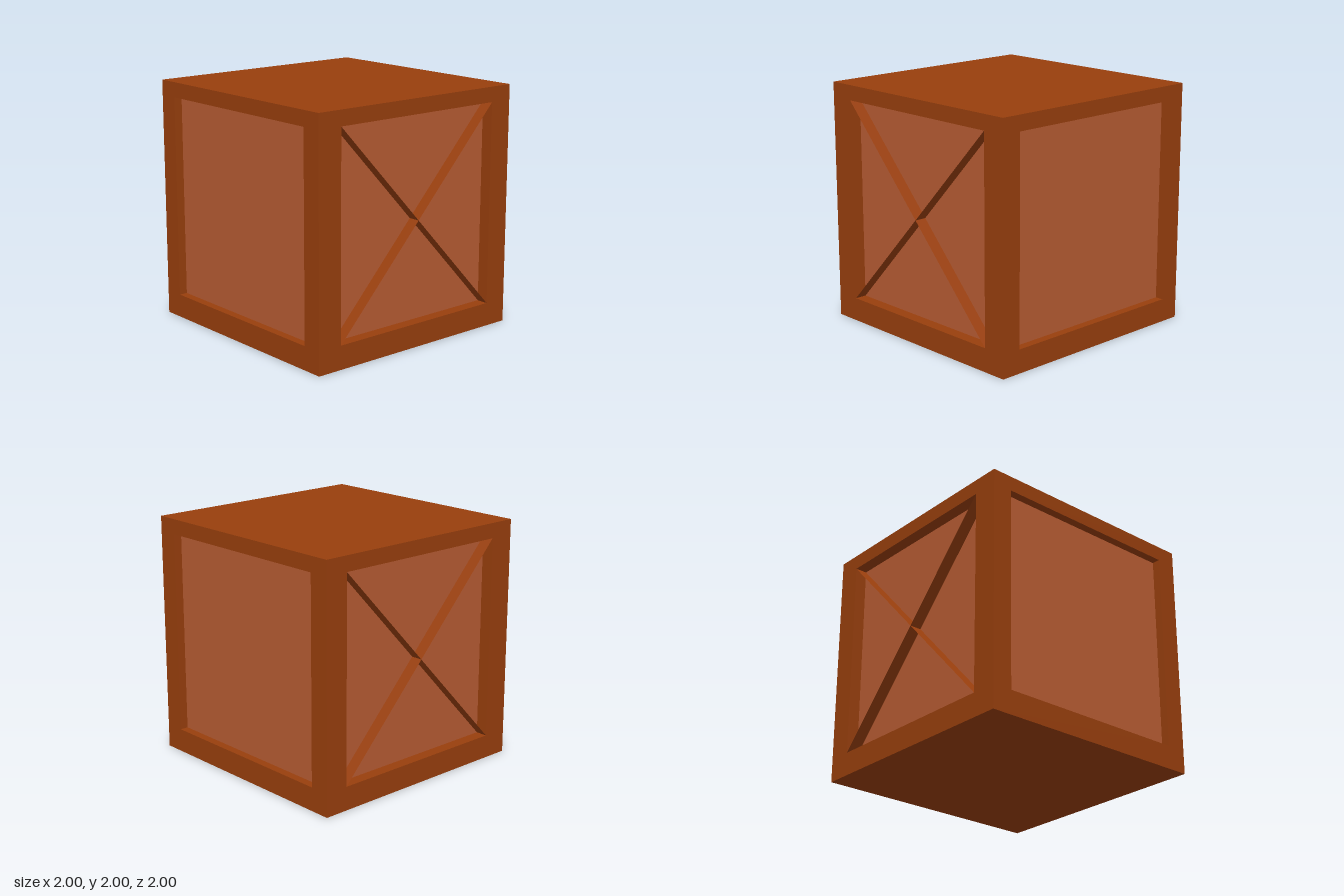
import * as THREE from 'three';
import { mergeGeometries } from 'three/addons/utils/BufferGeometryUtils.js';

const Y0 = 0.195, Y1 = 1.875; // height range of every opening

const frameMat = new THREE.MeshStandardMaterial({ color: 0x993f0d });
const panelMat = new THREE.MeshStandardMaterial({ color: 0xb85c33 });
const braceMat = new THREE.MeshStandardMaterial({ color: 0x993f0d, side: THREE.DoubleSide });

// Flat four-cornered face, corners counter-clockwise seen from its front
function quad(a, b, c, d) {
  const pts = [a, b, c, a, c, d].map((p) => new THREE.Vector3(...p));
  const geo = new THREE.BufferGeometry().setFromPoints(pts);
  geo.computeVertexNormals();
  return geo;
}

function rectangle(x0, x1, y0, y1, z) {
  return [[x0, y0, z], [x1, y0, z], [x1, y1, z], [x0, y1, z]];
}

function addMesh(parent, name, geo, mat) {
  const mesh = new THREE.Mesh(geo, mat);
  mesh.name = name;
  parent.add(mesh);
}

// One upright side of the crate: border, recess walls, sunken panel and optional cross brace
function makeSide(name, angle, x0, x1, depth, braced) {
  const side = new THREE.Group();
  side.name = name;
  side.rotation.y = angle;
  const outer = rectangle(-1, 1, 0, 2, 1);
  const rim = rectangle(x0, x1, Y0, Y1, 1);
  const floor = rectangle(x0, x1, Y0, Y1, 1 - depth);

  const parts = [];
  for (let i = 0; i < 4; i++) {
    const j = (i + 1) % 4;
    parts.push(quad(outer[i], outer[j], rim[j], rim[i]));
    parts.push(quad(rim[i], rim[j], floor[j], floor[i]));
  }
  addMesh(side, 'frame', mergeGeometries(parts), frameMat);
  addMesh(side, 'panel', quad(...floor), panelMat);

  // Paper-thin diagonal slats standing on edge between opposite corners
  if (braced) {
    const slats = [0, 1].map((i) => quad(rim[i], rim[i + 2], floor[i + 2], floor[i]));
    addMesh(side, 'crossBrace', mergeGeometries(slats), braceMat);
  }
  return side;
}

export function createModel() {
  const crate = new THREE.Group();
  crate.name = 'crate';
  crate.add(
    makeSide('frontSide', 0, -0.785, 0.8, 0.1, true),
    makeSide('backSide', Math.PI, -0.8, 0.785, 0.1, true),
    makeSide('leftSide', Math.PI / 2, -0.83, 0.83, 0.07, false),
    makeSide('rightSide', -Math.PI / 2, -0.83, 0.83, 0.07, false)
  );

  // Solid lid and base
  const lid = new THREE.PlaneGeometry(2, 2).rotateX(-Math.PI / 2).translate(0, 2, 0);
  const base = new THREE.PlaneGeometry(2, 2).rotateX(Math.PI / 2);
  addMesh(crate, 'lid', lid, frameMat);
  addMesh(crate, 'base', base, frameMat);
  return crate;
}
